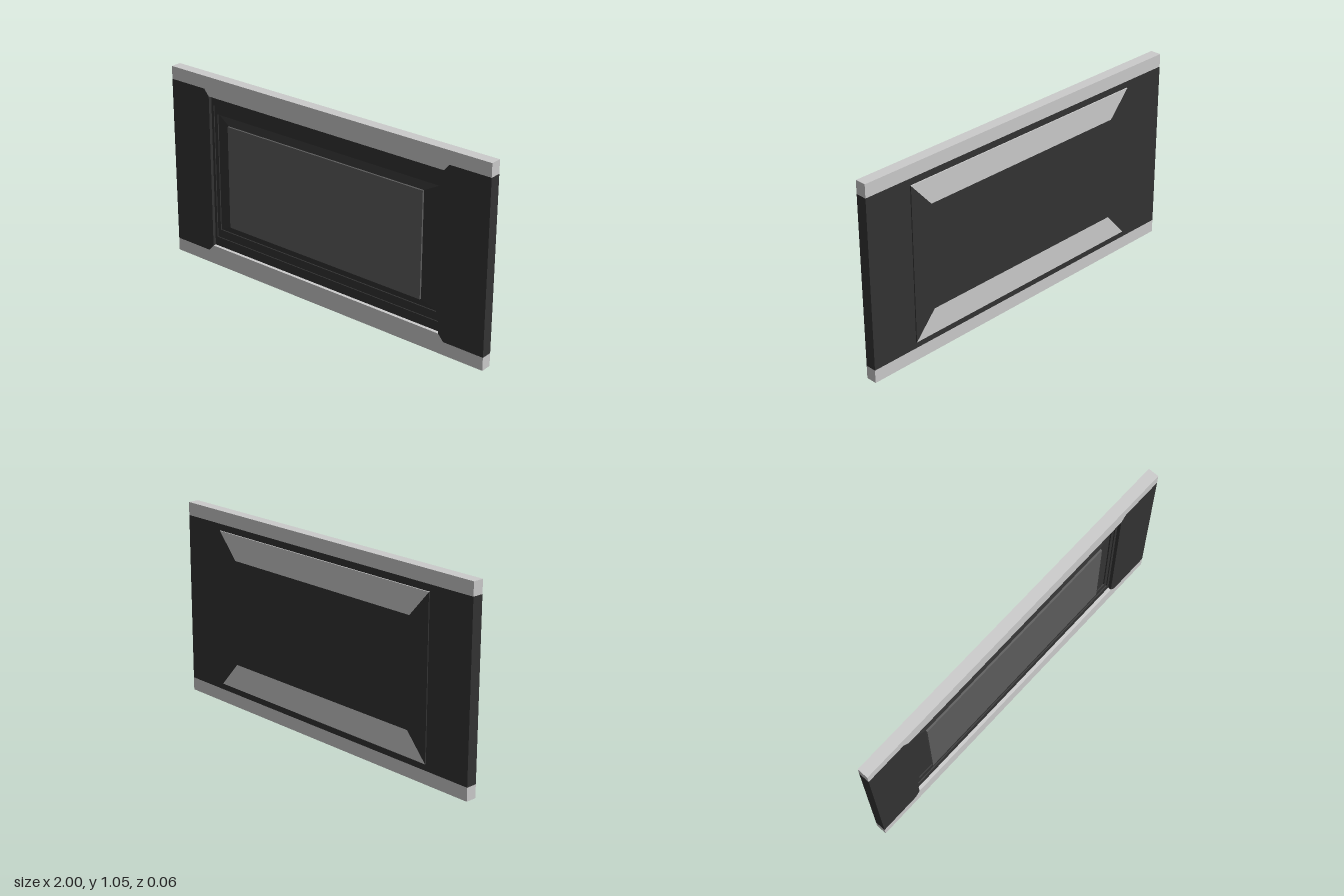
import * as THREE from 'three';

const mat = (color) => new THREE.MeshStandardMaterial({ color });
const light = mat(0xcccccc), dark = mat(0x333333), glass = mat(0x5c5c5c);
const H = 1.05, MID = H / 2;
const BACK = -0.026, FRONT = 0.033, PLATE = -0.032, CORE = 0;

export function createModel() {
  const group = new THREE.Group();

  const add = (name, geometry, material) => {
    const mesh = new THREE.Mesh(geometry, material);
    mesh.name = name;
    group.add(mesh);
    return mesh;
  };
  // Outline in x and y (y measured from mid height), extruded between two depths
  const slab = (name, points, z0, z1, material) => {
    const shape = new THREE.Shape(points.map(([x, y]) => new THREE.Vector2(x, y)));
    const geo = new THREE.ExtrudeGeometry(shape, { depth: z1 - z0, bevelEnabled: false });
    return add(name, geo.translate(0, MID, z0), material);
  };
  const rect = (hx, y0, y1) => [[-hx, y0], [hx, y0], [hx, y1], [-hx, y1]];

  // Top and bottom rails, each with a lip on the front that fits between the stiles
  for (const [s, label] of [[1, 'top'], [-1, 'bottom']]) {
    slab(label + 'Rail', rect(1, s * 0.455, s * MID), BACK, FRONT, light);
    slab(label + 'RailLip', [[-0.77, s * 0.455], [0.77, s * 0.455], [0.74, s * 0.42], [-0.74, s * 0.42]],
      CORE, FRONT, light);
  }

  // Side stiles with chamfered inner corners
  for (const [s, label] of [[1, 'left'], [-1, 'right']]) {
    slab(label + 'Stile', [[1, -0.455], [1, 0.455], [0.77, 0.455], [0.74, 0.42], [0.74, -0.42], [0.77, -0.455]]
      .map(([x, y]) => [s * x, y]), BACK, FRONT, dark);
  }

  // Core between the stiles
  slab('core', [[-0.77, -0.455], [0.77, -0.455], [0.74, -0.42], [0.74, 0.42],
    [0.77, 0.455], [-0.77, 0.455], [-0.74, 0.42], [-0.74, -0.42]], BACK, CORE, dark);

  // Stepped moulding: rectangular loops [half width, half height, z] from outside in
  const loops = [[0.74, 0.42, 0.015], [0.725, 0.37, 0.015], [0.725, 0.37, 0.009],
    [0.705, 0.325, 0.009], [0.705, 0.325, 0.002], [0.62, 0.282, 0.015]];
  const corner = ([hx, hy, z], i) => [[-hx, -hy, z], [hx, -hy, z], [hx, hy, z], [-hx, hy, z]][i % 4];
  const pos = [];
  for (let k = 0; k < loops.length - 1; k++) {
    for (let i = 0; i < 4; i++) {
      const a = corner(loops[k], i), b = corner(loops[k], i + 1);
      const c = corner(loops[k + 1], i + 1), d = corner(loops[k + 1], i);
      pos.push(...a, ...b, ...c, ...a, ...c, ...d);
    }
  }
  const moulding = new THREE.BufferGeometry();
  moulding.setAttribute('position', new THREE.Float32BufferAttribute(pos, 3));
  moulding.computeVertexNormals();
  add('moulding', moulding.translate(0, MID, 0), dark);

  // Raised centre pane
  slab('pane', rect(0.62, -0.282, 0.282), CORE, 0.025, glass);

  // Back plate: four mitred borders around a centre field
  const [ox, oy, ix, iy] = [0.74, 0.42, 0.62, 0.283];
  for (const s of [1, -1]) {
    slab(s > 0 ? 'backTopBorder' : 'backBottomBorder',
      [[-ox, s * oy], [ox, s * oy], [ix, s * iy], [-ix, s * iy]], PLATE, BACK, light);
    slab(s > 0 ? 'backLeftBorder' : 'backRightBorder',
      [[s * ox, -oy], [s * ox, oy], [s * ix, iy], [s * ix, -iy]], PLATE, BACK, dark);
  }
  slab('backField', rect(ix, -iy, iy), PLATE, BACK, dark);

  return group;
}
